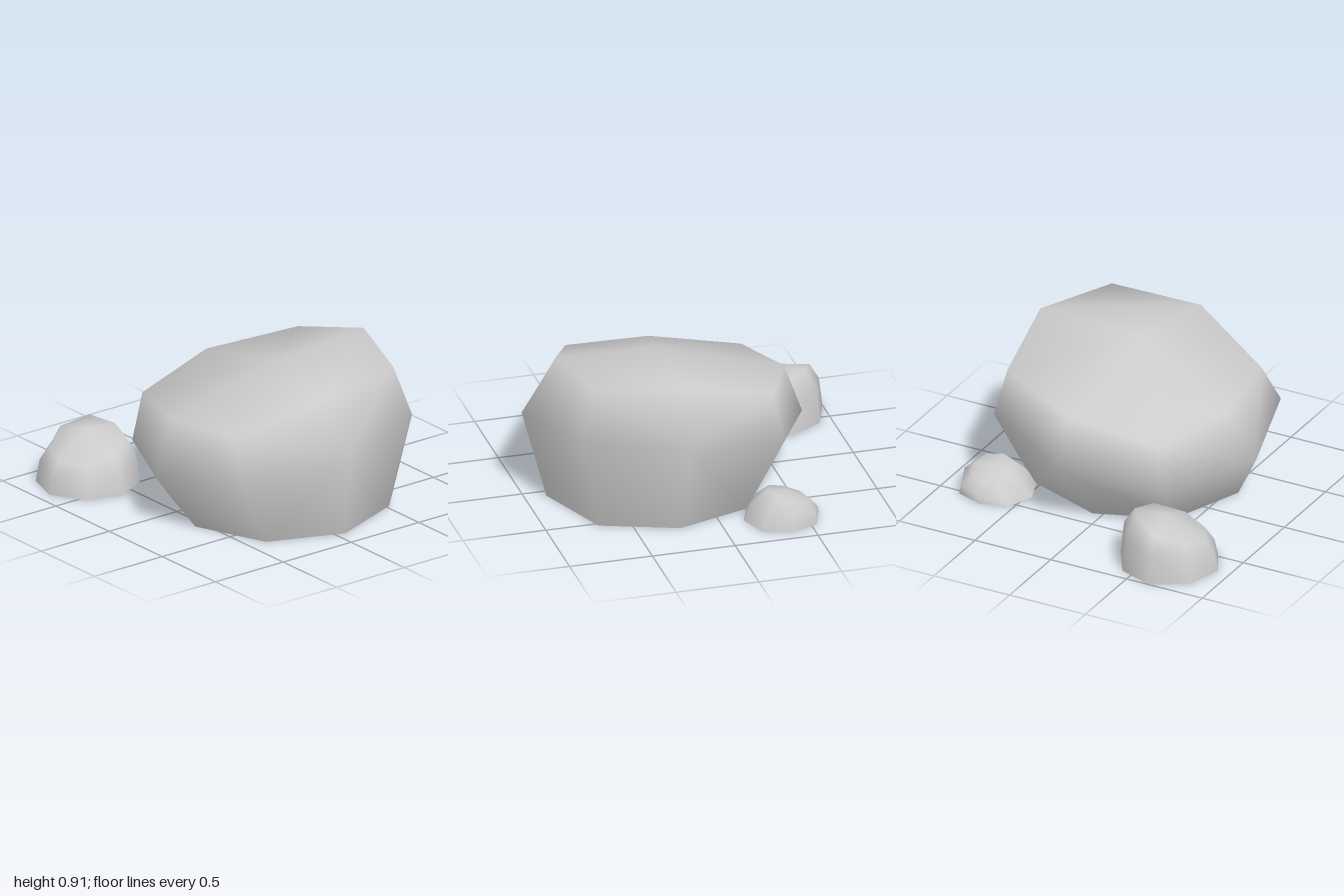
import * as THREE from 'three';

const SIDES = 8;

// Skins eight-sided rings (bottom to top) and closes the top around a peak point; the base stays open.
// A cut corner is joined only to its two neighbours instead of to the peak.
function rock(name, rings, peak, cutCorner = -1) {
  const index = [];
  const last = rings.length - 1;
  const top = last * SIDES;
  const tip = top + SIDES;
  for (let i = 0; i < SIDES; i++) {
    const j = (i + 1) % SIDES;
    for (let r = 0; r < last; r++) {
      const a = r * SIDES + i, b = r * SIDES + j;
      const c = b + SIDES, d = a + SIDES;
      if ((i + r) % 2) index.push(a, d, c, a, c, b);
      else index.push(a, d, b, b, d, c);
    }
    if (j === cutCorner) {
      const k = (j + 1) % SIDES;
      index.push(top + i, tip, top + k, top + i, top + k, top + j);
    } else if (i !== cutCorner) {
      index.push(top + i, tip, top + j);
    }
  }
  const geometry = new THREE.BufferGeometry();
  geometry.setAttribute('position', new THREE.Float32BufferAttribute([...rings.flat(2), ...peak], 3));
  geometry.setIndex(index);
  geometry.computeVertexNormals();
  const material = new THREE.MeshStandardMaterial({ color: 0xcccccc, side: THREE.DoubleSide });
  const mesh = new THREE.Mesh(geometry, material);
  mesh.name = name;
  return mesh;
}

// Shrinks an outline about its centre and lays it on a tilted plane of given height and slopes.
function tiltedRing(outline, [cx, cz], scale, [shiftX, shiftZ], height, slopeX, slopeZ) {
  return outline.map(([x, z]) => {
    const dx = (x - cx) * scale, dz = (z - cz) * scale;
    return [cx + shiftX + dx, height + slopeX * dx + slopeZ * dz, cz + shiftZ + dz];
  });
}

export function createModel() {
  const group = new THREE.Group();
  group.name = 'rocks';

  // Large boulder: narrow base, wide tilted waist, slanted crown
  const base = [[0.06, 0, -0.38], [0.545, 0, -0.2], [0.69, 0, 0.24], [0.525, 0, 0.69],
    [0.06, 0, 0.87], [-0.385, 0, 0.69], [-0.56, 0, 0.25], [-0.385, 0, -0.21]];
  const waist = [[0.14, 0.385, -0.65], [0.71, 0.485, -0.38], [0.88, 0.585, 0.23], [0.6, 0.59, 0.81],
    [-0.01, 0.52, 1], [-0.58, 0.4, 0.73], [-0.75, 0.32, 0.11], [-0.46, 0.29, -0.47]];
  const crown = [[0.14, 0.69, -0.54], [0.65, 0.77, -0.33], [0.72, 0.91, 0.2], [0.53, 0.88, 0.72],
    [-0.02, 0.845, 0.79], [-0.535, 0.655, 0.585], [-0.59, 0.62, 0.07], [-0.41, 0.585, -0.44]];
  group.add(rock('largeBoulder', [base, waist, crown], [0.06, 0.875, 0.22], 3));

  // Medium rock behind the boulder, rising toward the back and +x
  const medium = [[-0.65, -1], [-0.43, -0.92], [-0.31, -0.72], [-0.38, -0.5],
    [-0.59, -0.39], [-0.81, -0.46], [-0.92, -0.66], [-0.85, -0.88]];
  const mediumCentre = [-0.62, -0.69];
  const mediumCrown = [[-0.64, 0.28, -0.92], [-0.48, 0.335, -0.85], [-0.4, 0.305, -0.71], [-0.44, 0.275, -0.55],
    [-0.6, 0.22, -0.47], [-0.76, 0.18, -0.52], [-0.845, 0.19, -0.67], [-0.79, 0.22, -0.83]];
  group.add(rock('mediumRock', [
    tiltedRing(medium, mediumCentre, 1, [0, 0], 0, 0, 0),
    tiltedRing(medium, mediumCentre, 0.93, [0, 0], 0.15, 0.18, -0.12),
    mediumCrown,
  ], [-0.61, 0.325, -0.72]));

  // Small rock beside the boulder, rising toward the front
  const small = [[0.695, -0.59], [0.86, -0.53], [0.92, -0.365], [0.86, -0.2],
    [0.69, -0.14], [0.53, -0.2], [0.465, -0.37], [0.53, -0.54]];
  const smallCentre = [0.695, -0.365];
  group.add(rock('smallRock', [
    tiltedRing(small, smallCentre, 1, [0, 0], 0, 0, 0),
    tiltedRing(small, smallCentre, 0.86, [0.01, -0.025], 0.08, 0.08, 0.21),
    tiltedRing(small, smallCentre, 0.55, [0.01, -0.04], 0.143, 0.05, 0.34),
  ], [0.7, 0.167, -0.39]));

  return group;
}
